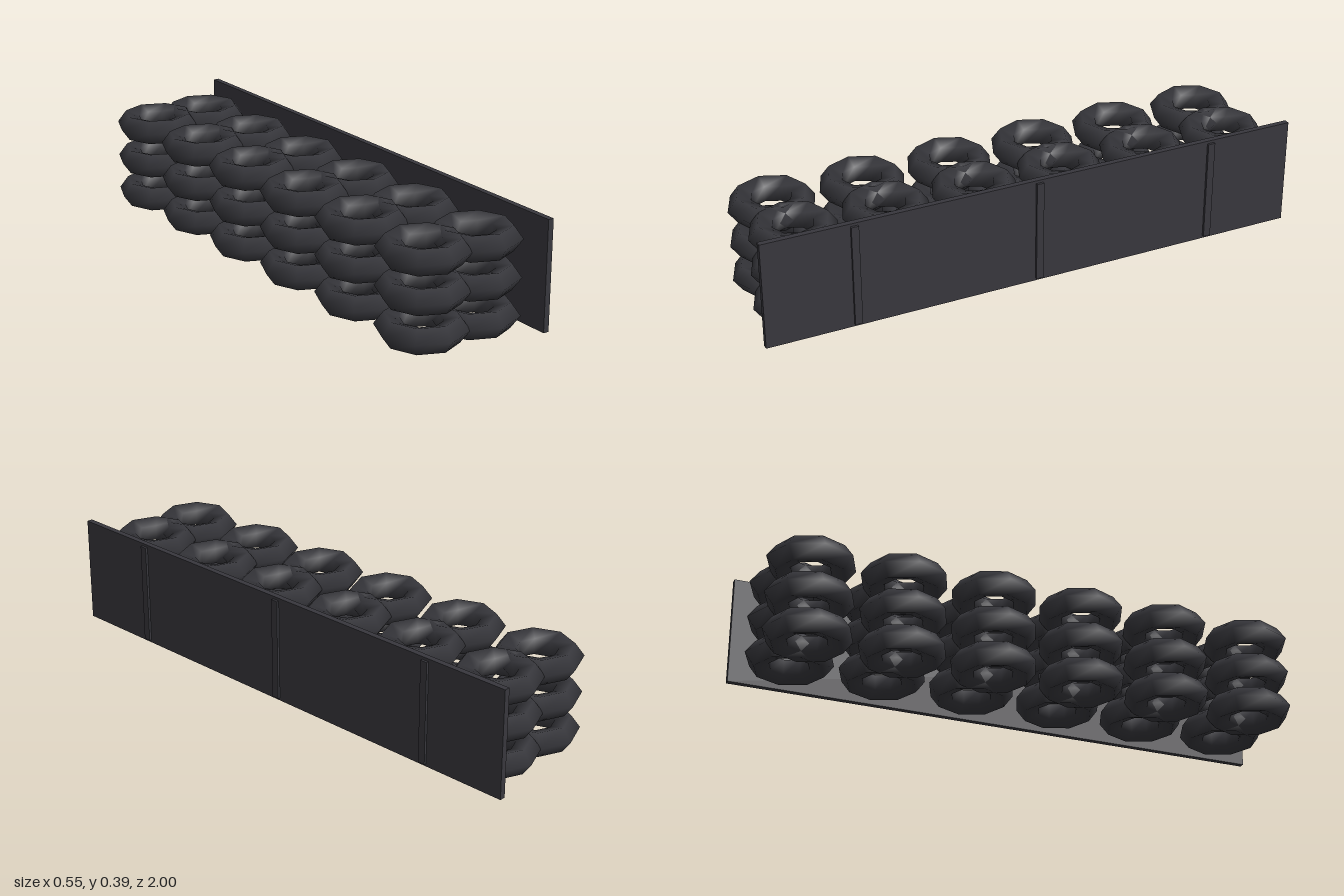
import * as THREE from 'three';

export function createModel() {
  const model = new THREE.Group();
  model.name = 'tyreBarrier';

  const rubber = new THREE.MeshStandardMaterial({ color: 0x36363b });
  rubber.name = 'dark rubber';
  const sheet = new THREE.MeshStandardMaterial({ color: 0x38373d });
  sheet.name = 'dark sheet';

  // Stacks of tyres: six pairs along the barrier, three tyres high
  const tyreGeometry = new THREE.TorusGeometry(0.1095, 0.0473, 5, 8).rotateX(Math.PI / 2);
  for (let i = 0; i < 6; i++) {
    for (const x of [-0.118, 0.09]) {
      const stack = new THREE.Group();
      stack.name = 'tyreStack';
      stack.position.set(x, 0, -0.827 + i * 0.33);
      for (let level = 0; level < 3; level++) {
        const tyre = new THREE.Mesh(tyreGeometry, rubber);
        tyre.name = 'tyre';
        tyre.position.y = 0.048 + level * 0.1325;
        stack.add(tyre);
      }
      model.add(stack);
    }
  }

  const addBox = (name, size, position) => {
    const mesh = new THREE.Mesh(new THREE.BoxGeometry(...size), sheet);
    mesh.name = name;
    mesh.position.set(...position);
    model.add(mesh);
  };

  // Facing panel and the three battens on its outer side
  addBox('panel', [0.021, 0.39, 2], [0.2535, 0.195, 0]);
  for (const z of [-0.675, 0, 0.675]) {
    addBox('batten', [0.011, 0.37, 0.027], [0.2675, 0.195, z]);
  }

  return model;
}
